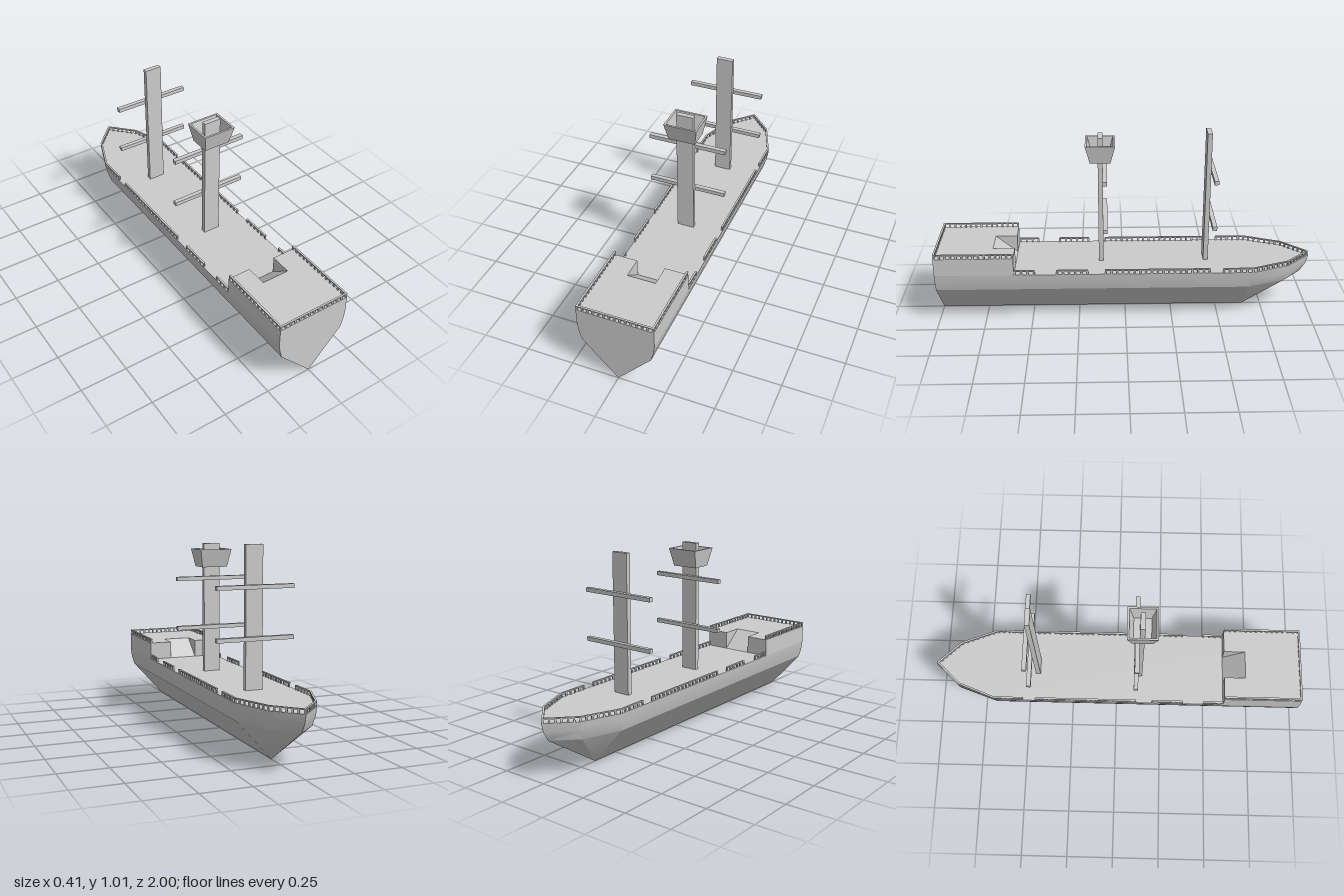
import * as THREE from 'three';
import { toCreasedNormals } from 'three/addons/utils/BufferGeometryUtils.js';

const material = new THREE.MeshStandardMaterial({ color: 0xcccccc });
const DECK = 0.295, CASTLE = 0.39;

function add(parent, name, geometry, x = 0, y = 0, z = 0) {
  const mesh = new THREE.Mesh(geometry, material);
  mesh.name = name;
  mesh.position.set(x, y, z);
  parent.add(mesh);
  return mesh;
}

// Skins a stack of closed rings (anticlockwise from above) and caps both ends.
function loft(rings, crease) {
  const out = [];
  const tri = (a, b, c) => {
    const n = b.clone().sub(a).cross(c.clone().sub(a));
    if (n.length() > 1e-9) for (const p of [a, b, c]) out.push(p.x, p.y, p.z);
  };
  const n = rings[0].length, last = rings[rings.length - 1];
  for (let i = 0; i < rings.length - 1; i++) {
    for (let j = 0; j < n; j++) {
      const k = (j + 1) % n, lo = rings[i], hi = rings[i + 1];
      tri(lo[j], lo[k], hi[k]);
      tri(lo[j], hi[k], hi[j]);
    }
  }
  for (let j = 1; j < n - 1; j++) {
    tri(rings[0][0], rings[0][j + 1], rings[0][j]);
    tri(last[0], last[j], last[j + 1]);
  }
  const g = new THREE.BufferGeometry();
  g.setAttribute('position', new THREE.Float32BufferAttribute(out, 3));
  return toCreasedNormals(g, crease);
}

// Outline of the hull at one height: square stern, pointed bow.
function hullRing([y, w, shoulder, cheek, tip]) {
  return [[w, 1], [w, shoulder], [w * 0.62, cheek], [0, tip], [-w * 0.62, cheek], [-w, shoulder], [-w, 1]]
    .map(([x, z]) => new THREE.Vector3(x, y, z));
}

function rectRing(y, w, d) {
  return [[w, d], [w, -d], [-w, -d], [-w, d]].map(([x, z]) => new THREE.Vector3(x, y, z));
}

// Balustrade along a path of [x, z] points.
function railing(parent, name, path, y, spacing = 0.03) {
  const rail = new THREE.Group();
  rail.name = name;
  parent.add(rail);
  for (let i = 0; i < path.length - 1; i++) {
    const [x0, z0] = path[i], [x1, z1] = path[i + 1];
    const dx = x1 - x0, dz = z1 - z0, len = Math.hypot(dx, dz);
    const angle = Math.atan2(dx, dz), count = Math.max(1, Math.round(len / spacing));
    add(rail, 'handrail', new THREE.BoxGeometry(0.01, 0.006, len + 0.006),
      (x0 + x1) / 2, y + 0.021, (z0 + z1) / 2).rotation.y = angle;
    for (let k = 0; k <= count; k++) {
      add(rail, 'baluster', new THREE.BoxGeometry(0.007, 0.02, 0.009),
        x0 + dx * k / count, y + 0.009, z0 + dz * k / count).rotation.y = angle;
    }
  }
}

// Flat plank mast with two yards on its forward face.
function mast(parent, name, z, top, yards) {
  const group = new THREE.Group();
  group.name = name;
  group.position.z = z;
  parent.add(group);
  add(group, 'mastPole', new THREE.BoxGeometry(0.09, top - 0.28, 0.025), 0, (top + 0.28) / 2, 0);
  for (const y of yards) add(group, 'yard', new THREE.BoxGeometry(0.41, 0.021, 0.023), 0, y, -0.0235);
  return group;
}

export function createModel() {
  const ship = new THREE.Group();
  ship.name = 'sailingShip';

  // Hull: height, half width, then z of shoulder, cheek and bow tip
  add(ship, 'hull', loft([
    [0, 0, -0.65, -0.65, -0.65],
    [0.2, 0.18, -0.65, -0.85, -0.96],
    [0.25, 0.194, -0.66, -0.865, -0.99],
    [DECK, 0.2, -0.67, -0.87, -1],
  ].map(hullRing), 0.45));

  // Raised stern deck with a notch for the ramp
  const plan = new THREE.Shape([
    [-0.2, -1], [0.2, -1], [0.2, -0.585], [0.075, -0.585], [0.075, -0.7],
    [-0.075, -0.7], [-0.075, -0.585], [-0.2, -0.585],
  ].map(([x, y]) => new THREE.Vector2(x, y)));
  const castle = new THREE.ExtrudeGeometry(plan, { depth: CASTLE - DECK, bevelEnabled: false });
  add(ship, 'sternCastle', castle.rotateX(-Math.PI / 2), 0, DECK, 0);

  const wedge = new THREE.Shape([[0.585, DECK], [0.7, DECK], [0.7, CASTLE]]
    .map(([z, y]) => new THREE.Vector2(z, y)));
  const ramp = new THREE.ExtrudeGeometry(wedge, { depth: 0.15, bevelEnabled: false });
  add(ship, 'ramp', ramp.rotateY(-Math.PI / 2), 0.075, 0, 0);

  // Railings
  for (const s of [-1, 1]) {
    for (const [a, b] of [[0.58, 0.48], [0.36, 0.2], [0.105, -0.44]]) {
      railing(ship, 'deckRailing', [[s * 0.195, a], [s * 0.195, b]], DECK);
    }
  }
  railing(ship, 'bowRailing', [
    [0.195, -0.515], [0.195, -0.67], [0.119, -0.866], [0, -0.99],
    [-0.119, -0.866], [-0.195, -0.67], [-0.195, -0.515],
  ], DECK);
  railing(ship, 'sternRailing', [[0.195, 0.59], [0.195, 0.995], [-0.195, 0.995], [-0.195, 0.59]], CASTLE, 0.028);

  // Masts
  mast(ship, 'foreMast', -0.433, 1.01, [0.805, 0.552]);
  const main = mast(ship, 'mainMast', 0.128, 0.99, [0.805, 0.541]);

  // Lookout basket: up the outside, down the inside to the floor
  add(main, 'lookoutBasket', loft([
    rectRing(0.865, 0.07, 0.053), rectRing(0.96, 0.087, 0.077),
    rectRing(0.96, 0.077, 0.067), rectRing(0.875, 0.062, 0.045),
  ], 0.3));

  return ship;
}
